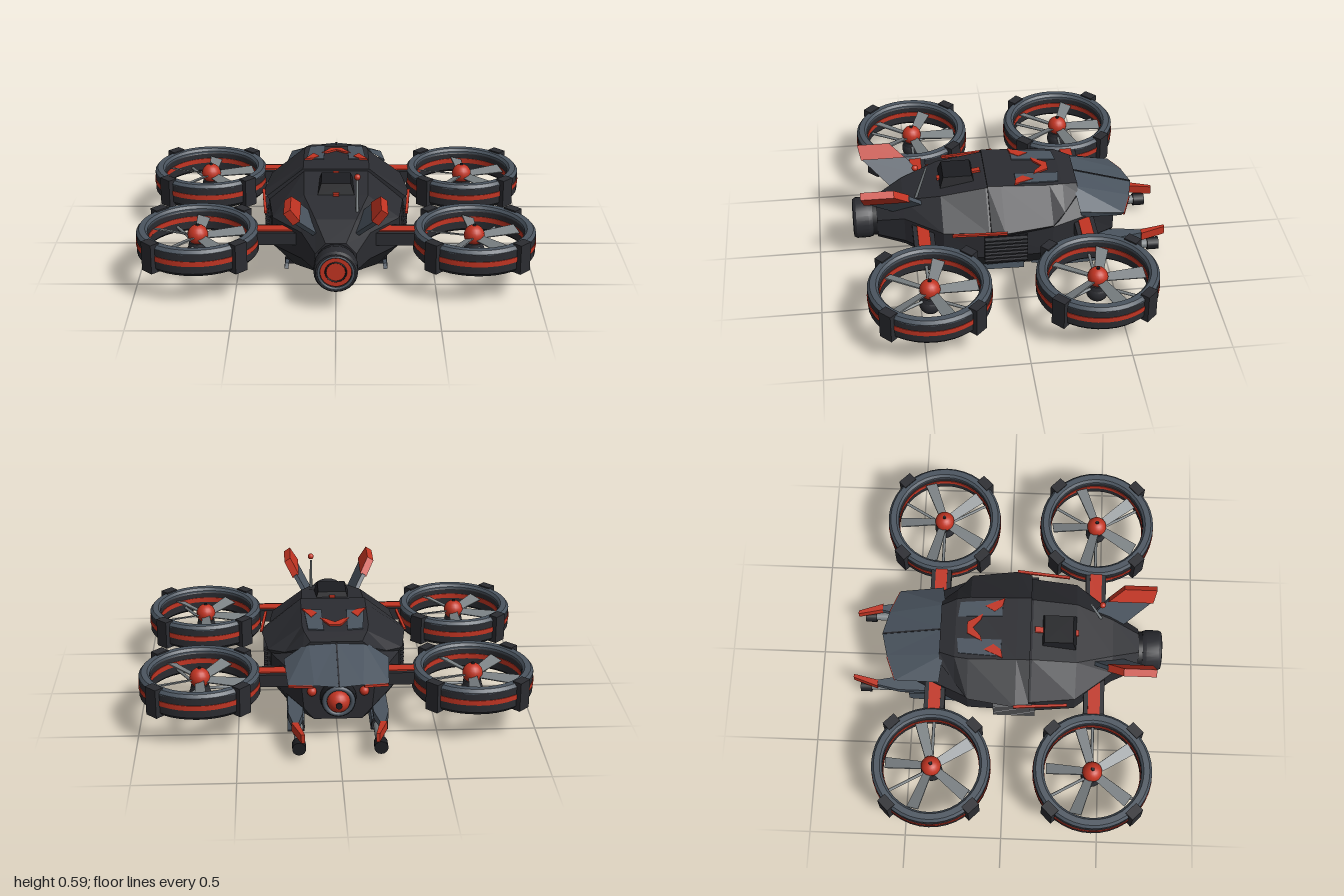
import * as THREE from 'three';
import { toCreasedNormals } from 'three/addons/utils/BufferGeometryUtils.js';

const paint = (name, color) => Object.assign(new THREE.MeshStandardMaterial({ color }), { name });

export function createModel() {
  const dark = paint('charcoal', 0x2b2c31);
  const black = paint('black', 0x1c1d21);
  const slate = paint('slate', 0x4a545f);
  const red = paint('red', 0xc23422);
  const grey = paint('grey', 0x7b8184);
  const slateThin = paint('slate panel', 0x4a545f);
  slateThin.side = THREE.DoubleSide;

  const model = new THREE.Group();
  const add = (name, geo, mat, pos = [0, 0, 0], rot = [0, 0, 0], parent = model) => {
    const m = new THREE.Mesh(geo, mat);
    m.name = name;
    m.position.set(...pos);
    m.rotation.set(...rot);
    parent.add(m);
    return m;
  };
  const box = (w, h, d) => new THREE.BoxGeometry(w, h, d);
  const cyl = (r1, r2, h, n = 20) => new THREE.CylinderGeometry(r1, r2, h, n);
  const ball = (r) => new THREE.SphereGeometry(r, 18, 12);
  const shape = (pts) => new THREE.Shape(pts.map(p => new THREE.Vector2(...p)));
  const extrude = (pts, depth) => new THREE.ExtrudeGeometry(shape(pts), { depth, bevelEnabled: false });
  // [x, z] outline raised along y
  const plan = (pts, h) => extrude(pts.map(([x, z]) => [x, -z]), h).rotateX(-Math.PI / 2);
  // [z, y] outline, centred across x
  const profile = (pts, w) => extrude(pts.map(([z, y]) => [-z, y]), w).translate(0, 0, -w / 2).rotateY(Math.PI / 2);
  const lathe = (pts, n = 40) =>
    toCreasedNormals(new THREE.LatheGeometry(pts.map(p => new THREE.Vector2(...p)), n), 0.4);

  // faceted skin through mirrored half sections, each { z, half: bottom to top }
  const loft = (sections) => {
    const rings = sections.map(([z, ...half]) => [
      ...half.map(([x, y]) => [x, y, z]),
      ...half.slice().reverse().map(([x, y]) => [-x, y, z])]);
    const n = rings[0].length, idx = [], last = (rings.length - 1) * n;
    for (let i = 0; i < rings.length - 1; i++)
      for (let j = 0; j < n; j++) {
        const a = i * n + j, b = i * n + (j + 1) % n;
        idx.push(a, b, b + n, a, b + n, a + n);
      }
    for (let j = 1; j < n - 1; j++) idx.push(0, j + 1, j, last, last + j, last + j + 1);
    const g = new THREE.BufferGeometry();
    g.setAttribute('position', new THREE.Float32BufferAttribute(rings.flat(2), 3));
    g.setIndex(idx);
    const flat = g.toNonIndexed();
    flat.computeVertexNormals();
    return flat;
  };

  // main hull and overhanging upper deck
  add('hull', loft([
    [-0.54, [0.12, 0.1], [0.17, 0.16], [0.18, 0.27], [0.1, 0.32]],
    [-0.36, [0.19, 0.06], [0.26, 0.16], [0.26, 0.31], [0.13, 0.41]],
    [-0.2, [0.24, 0.03], [0.33, 0.15], [0.33, 0.31], [0.16, 0.44]],
    [0.13, [0.25, 0.03], [0.34, 0.15], [0.345, 0.31], [0.165, 0.466]],
    [0.36, [0.21, 0.05], [0.32, 0.16], [0.32, 0.31], [0.16, 0.43]],
    [0.55, [0.1, 0.1], [0.17, 0.17], [0.17, 0.31], [0.1, 0.38]],
    [0.69, [0.05, 0.12], [0.1, 0.17], [0.1, 0.26], [0.05, 0.315]],
  ]), dark);
  add('upperDeck', loft([
    [-0.35, [0.16, 0.36], [0.17, 0.4], [0.13, 0.435]],
    [-0.27, [0.25, 0.31], [0.26, 0.345], [0.16, 0.456]],
    [-0.2, [0.32, 0.3], [0.345, 0.33], [0.17, 0.46]],
    [0.05, [0.35, 0.29], [0.38, 0.325], [0.17, 0.474]],
    [0.12, [0.33, 0.29], [0.36, 0.325], [0.17, 0.478]],
  ]), dark);

  // sloping slate hood over the nose
  const hood = [[0, 0.432, -0.33, 0, 0.33, -0.66], [0.14, 0.425, -0.33, 0.12, 0.327, -0.63],
    [0.265, 0.345, -0.35, 0.25, 0.31, -0.58], [0.25, 0.3, -0.36, 0.235, 0.285, -0.57]];
  for (const s of [1, -1]) {
    const pos = [];
    for (let i = 0; i < 3; i++) {
      const corner = (h, k) => [s * h[k], h[k + 1], h[k + 2]];
      const a = corner(hood[i], 0), b = corner(hood[i], 3), c = corner(hood[i + 1], 3), d = corner(hood[i + 1], 0);
      const tris = s > 0 ? [a, d, c, a, c, b] : [a, c, d, a, b, c];
      pos.push(...tris.flat());
    }
    const g = new THREE.BufferGeometry();
    g.setAttribute('position', new THREE.Float32BufferAttribute(pos, 3));
    g.computeVertexNormals();
    add('noseHood', g, slateThin);
    add('hoodTrim', box(0.13, 0.012, 0.012), red, [s * 0.185, 0.31, -0.603], [0, -s * 0.37, s * -0.13]);
  }
  add('hoodSeam', box(0.008, 0.006, 0.34), dark, [0, 0.381, -0.495], [-0.3, 0, 0]);

  // nose sensor and lamps
  add('sensorHousing', cyl(0.085, 0.095, 0.08), black, [0, 0.22, -0.55], [-Math.PI / 2, 0, 0]);
  add('sensorRing', new THREE.TorusGeometry(0.07, 0.012, 8, 24), slate, [0, 0.22, -0.59]);
  add('sensorEye', ball(0.058), red, [0, 0.22, -0.585]);
  add('sensorPupil', cyl(0.016, 0.016, 0.008), black, [0, 0.22, -0.643], [Math.PI / 2, 0, 0]);

  // painted deck panels
  const top = new THREE.Group();
  top.name = 'deckPanels';
  top.position.set(0, 0.4675, -0.08);
  top.rotation.x = -0.056;
  model.add(top);
  add('deckArrow', plan([[-0.075, -0.05], [-0.03, -0.13], [0.03, -0.13], [0.075, -0.05], [0.045, -0.06], [0, -0.1], [-0.045, -0.06]], 0.009), red, [0, 0, 0], [0, 0, 0], top);
  for (const s of [1, -1]) {
    add('deckStrip', plan([[s * 0.06, -0.18], [s * 0.14, -0.17], [s * 0.155, 0.05], [s * 0.065, 0.05]], 0.006), slate, [0, 0, 0], [0, 0, 0], top);
    add('deckFlash', plan([[s * 0.09, 0.01], [s * 0.12, -0.04], [s * 0.165, 0.06], [s * 0.12, 0.05]], 0.009), red, [0, 0, 0], [0, 0, 0], top);
  }

  // hatch, spine stripe and antenna
  add('hatch', toCreasedNormals(cyl(0.105, 0.13, 0.055, 4).rotateY(Math.PI / 4), 0.3), black, [0, 0.458, 0.265]);
  add('spineStripe', box(0.03, 0.012, 0.23), red, [0, 0.452, 0.255], [0.155, 0, 0]);
  add('antenna', cyl(0.006, 0.008, 0.19, 8), grey, [0.105, 0.485, 0.455], [-0.31, 0, 0]);
  add('antennaBall', ball(0.016), red, [0.105, 0.578, 0.483]);

  // rear thruster
  const zAxis = [Math.PI / 2, 0, 0];
  add('thrusterNeck', cyl(0.095, 0.1, 0.08, 24), black, [0, 0.215, 0.7], zAxis);
  add('thrusterShell', lathe([[0.07, -0.05], [0.1, -0.05], [0.107, -0.03], [0.107, 0.035], [0.098, 0.05], [0.084, 0.05], [0.08, 0.02]], 28), dark, [0, 0.215, 0.762], zAxis);
  add('thrusterRim', new THREE.TorusGeometry(0.084, 0.007, 8, 28), slate, [0, 0.215, 0.808]);
  add('thrusterGlow', cyl(0.076, 0.076, 0.03, 28), red, [0, 0.215, 0.786], zAxis);
  add('thrusterRing', new THREE.TorusGeometry(0.05, 0.004, 6, 24), black, [0, 0.215, 0.801]);

  // belly plate with red slot
  add('bellyPlate', loft([
    [-0.06, [0.1, 0.018], [0.13, 0.05]], [0.3, [0.1, 0.018], [0.13, 0.05]], [0.37, [0.06, 0.03], [0.1, 0.07]],
  ]), slate);
  add('bellySlot', box(0.045, 0.006, 0.3), red, [0, 0.017, 0.12]);

  for (const s of [1, -1]) {
    // tail fins leaning outward
    const fin = new THREE.Group();
    fin.name = 'tailFin';
    fin.position.set(s * 0.1, 0.32, 0);
    fin.rotation.z = -s * 0.6;
    model.add(fin);
    add('finBlade', profile([[0.44, 0.06], [0.52, 0.16], [0.75, 0.16], [0.6, 0], [0.5, -0.02]], 0.022), slate, [0, 0, 0], [0, 0, 0], fin);
    add('finTip', profile([[0.52, 0.155], [0.6, 0.235], [0.768, 0.235], [0.752, 0.155]], 0.04), red, [0, 0, 0], [0, 0, 0], fin);

    // side louvres and red side blade
    add('ventBox', box(0.05, 0.15, 0.22), black, [s * 0.325, 0.215, 0.045]);
    for (let i = 0; i < 7; i++)
      add('ventSlat', box(0.04, 0.012, 0.22), dark, [s * 0.348, 0.148 + i * 0.022, 0.045], [0, 0, -s * 0.3]);
    add('sideBlade', box(0.014, 0.012, 0.28), red, [s * 0.368, 0.324, 0.18], [0.03, -s * 0.08, 0]);

    // landing skids
    add('skid', profile([[0.375, 0.03], [0.36, 0.055], [-0.06, 0.045], [-0.06, 0.012], [0.2, 0.016]], 0.02), slate, [s * 0.258, 0, 0], [0, 0, s * 0.15]);
    add('skidMount', box(0.06, 0.03, 0.34), black, [s * 0.23, 0.045, 0.14]);
    add('noseLamp', ball(0.024), red, [s * 0.13, 0.255, -0.545]);

    // under-slung guns
    add('gunPod', profile([[-0.09, 0.075], [-0.1, 0.03], [-0.22, 0.003], [-0.5, 0.012], [-0.52, 0.03], [-0.52, 0.1], [-0.22, 0.112]], 0.085), slate, [s * 0.21, 0, 0]);
    add('gunBarrel', cyl(0.024, 0.024, 0.24, 14), grey, [s * 0.2, 0.06, -0.62], zAxis);
    add('gunMuzzle', cyl(0.034, 0.034, 0.06, 14), black, [s * 0.2, 0.06, -0.752], zAxis);
    add('gunCollar', cyl(0.034, 0.034, 0.03, 14), dark, [s * 0.2, 0.06, -0.53], zAxis);
    add('gunArm', plan([[0.25, -0.36], [0.25, -0.57], [0.225, -0.69], [0.2, -0.69], [0.175, -0.57], [0.17, -0.36]].map(([x, z]) => [s * x, z]), 0.038), slate, [0, 0.115, 0]);
    add('gunArmTip', plan([[0.235, -0.685], [0.19, -0.815], [0.172, -0.815], [0.2, -0.685]].map(([x, z]) => [s * x, z]), 0.046), red, [0, 0.11, 0]);

    // ducted rotors
    for (const z of [-0.37, 0.46]) {
      add('rotorArm', box(0.28, 0.065, 0.107), dark, [s * 0.28, 0.258, z]);
      add('rotorArmStripe', box(0.26, 0.008, 0.062), red, [s * 0.28, 0.293, z]);
      const rotor = new THREE.Group();
      rotor.name = 'rotor';
      rotor.position.set(s * 0.69, 0.238, z);
      model.add(rotor);
      const part = (name, geo, mat, pos, rot) => add(name, geo, mat, pos, rot, rotor);
      part('duct', lathe([[0.25, -0.055], [0.262, -0.068], [0.292, -0.068], [0.305, -0.052], [0.305, 0.05],
        [0.255, 0.05], [0.25, 0.04], [0.25, -0.055]]), dark);
      part('ductRim', lathe([[0.25, 0.045], [0.305, 0.045], [0.305, 0.052], [0.292, 0.068], [0.262, 0.068], [0.25, 0.055], [0.25, 0.045]]), slate);
      part('ductStripe', lathe([[0.304, -0.013], [0.308, -0.013], [0.308, 0.013], [0.304, 0.013]]), red);
      part('ductInnerStripe', lathe([[0.251, 0.013], [0.247, 0.013], [0.247, -0.013], [0.251, -0.013]]), red);
      for (let i = 0; i < 4; i++) {
        const a = Math.PI / 4 + i * Math.PI / 2;
        part('ductClamp', box(0.05, 0.152, 0.075), dark, [0.302 * Math.cos(a), 0, -0.302 * Math.sin(a)], [0, a, 0]);
      }
      for (let i = 0; i < 5; i++) {
        const blade = plan([[0.03, -0.022], [0.235, -0.036], [0.24, 0.03], [0.03, 0.022]], 0.006);
        blade.rotateX(0.35).rotateY(Math.PI / 2 + s * 0.05 + i * Math.PI * 0.4);
        part('blade', blade, grey, [0, 0.012, 0]);
      }
      for (let i = 0; i < 3; i++) {
        const a = (s > 0 ? Math.PI : 0) + i * Math.PI * 2 / 3;
        part('strut', cyl(0.008, 0.008, 0.25, 8).rotateZ(Math.PI / 2).translate(0.125, 0, 0), grey, [0, -0.035, 0], [0, a, 0]);
      }
      part('hub', ball(0.052), red, [0, 0.022, 0]);
      part('hubCap', cyl(0.008, 0.01, 0.008, 10), black, [0, 0.075, 0]);
      part('motor', cyl(0.045, 0.054, 0.05), dark, [0, -0.04, 0]);
      part('motorPod', ball(0.056), dark, [0, -0.065, 0]);
    }
  }
  return model;
}
